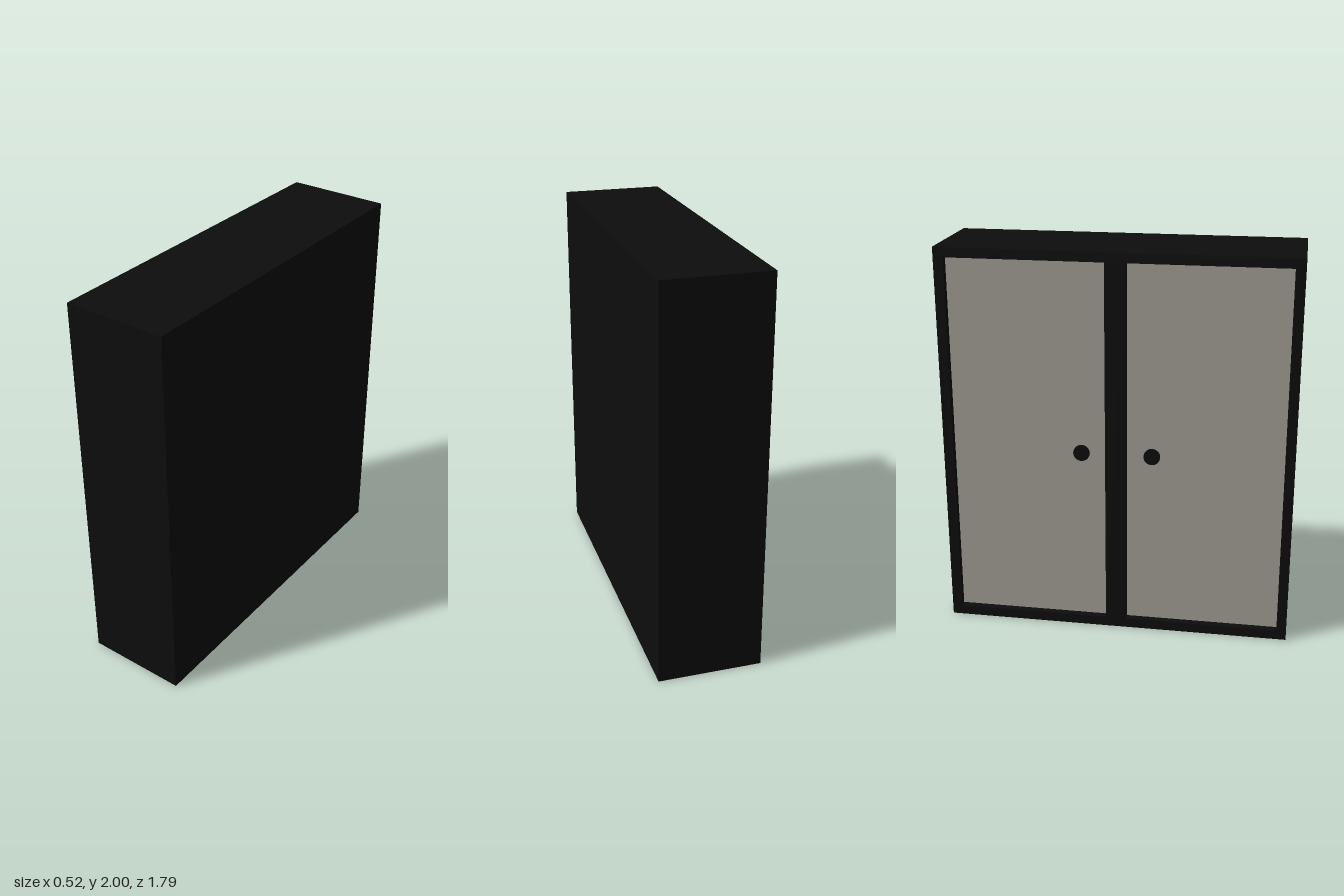
import * as THREE from 'three';

const W = 0.524, H = 2, D = 1.79;          // extents along x, y, z
const BORDER = 0.05, POST = 0.106;         // frame border and centre post
const FRAME = 0.072, DOOR = 0.035;         // frame depth, door thickness

export function createModel() {
  const model = new THREE.Group();
  const black = new THREE.MeshStandardMaterial({ color: 0x0d0d0d });
  const grey = new THREE.MeshStandardMaterial({ color: 0xa6a198 });

  const add = (name, geometry, material, x, y, z, parent = model) => {
    const mesh = new THREE.Mesh(geometry, material);
    mesh.name = name;
    mesh.position.set(x, y, z);
    parent.add(mesh);
    return mesh;
  };
  const rect = (path, x0, y0, x1, y1) =>
    path.moveTo(x0, y0).lineTo(x1, y0).lineTo(x1, y1).lineTo(x0, y1).closePath();

  // Solid cabinet body behind the door frame
  add('cabinetBody', new THREE.BoxGeometry(W - FRAME, H, D), black, FRAME / 2, H / 2, 0);

  // Door frame on the -x side: outer border plus a centre post
  const outline = new THREE.Shape();
  rect(outline, -D / 2, 0, D / 2, H);
  const inner = POST / 2, outer = D / 2 - BORDER;
  for (const [a, b] of [[-outer, -inner], [inner, outer]]) {
    const hole = new THREE.Path();
    rect(hole, a, BORDER, b, H - BORDER);
    outline.holes.push(hole);
  }
  const frameX = -W / 2 + FRAME;
  const frame = add('doorFrame',
    new THREE.ExtrudeGeometry(outline, { depth: FRAME, bevelEnabled: false }), black, frameX, 0, 0);
  frame.rotation.y = -Math.PI / 2;

  // Two recessed doors, each with a flat round knob near the post
  const doorGeo = new THREE.BoxGeometry(DOOR, H - 2 * BORDER, outer - inner);
  const knobGeo = new THREE.CylinderGeometry(0.042, 0.042, 0.012, 32).rotateZ(Math.PI / 2);
  for (const [side, name] of [[-1, 'rear'], [1, 'front']]) {
    const door = new THREE.Group();
    door.name = name + 'Door';
    add(name + 'DoorPanel', doorGeo, grey, frameX - DOOR / 2, H / 2, side * (inner + outer) / 2, door);
    add(name + 'DoorKnob', knobGeo, black, frameX - DOOR - 0.004, 0.965, side * 0.18, door);
    model.add(door);
  }
  return model;
}
